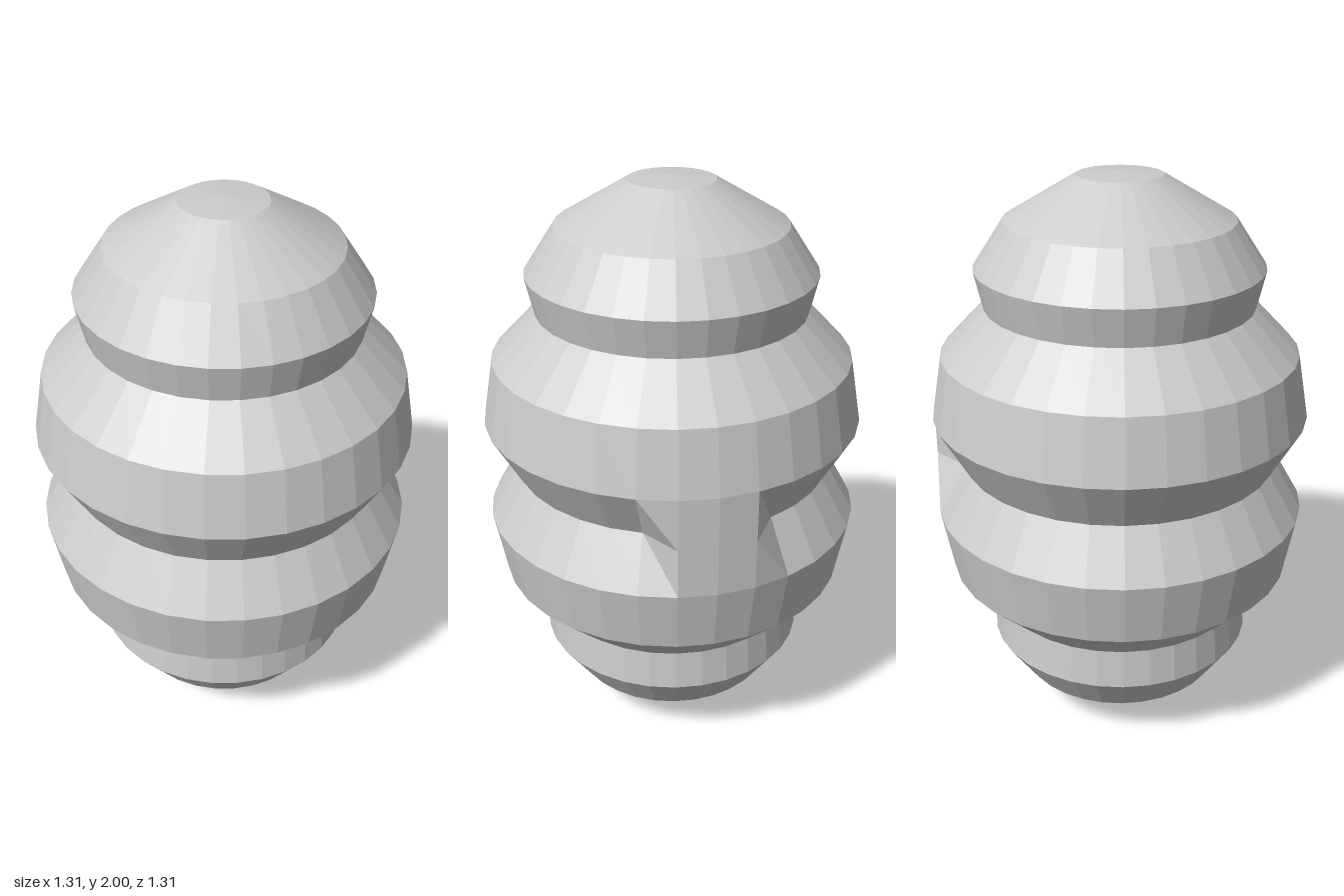
import * as THREE from 'three';

const SIDES = 32;
const RIM = 0.655; // widest radius, either side of the waist

// Outline from bottom to top: [radius, height]
const PROFILE = [
  [0, 0], [0.11, 0.025], [0.375, 0.16], [0.476, 0.31], [0.463, 0.45],
  [0.615, 0.6], [RIM, 0.825], [0.555, 1.0], [RIM, 1.18], [0.615, 1.4],
  [0.461, 1.56], [0.49, 1.69], [0.387, 1.845], [0.145, 1.988], [0, 2],
];
const WAIST = 7; // index of the waist groove in the outline

export function createModel() {
  const group = new THREE.Group();
  group.name = 'ribbedPod';

  const points = PROFILE.map(([r, y]) => new THREE.Vector2(r, y));
  const geometry = new THREE.LatheGeometry(points, SIDES);

  // Fill the waist groove at the back: push three waist corners out to the rim
  const pos = geometry.attributes.position;
  for (const column of [14, 15, 16]) {
    const angle = (column / SIDES) * Math.PI * 2;
    pos.setXYZ(
      column * PROFILE.length + WAIST,
      RIM * Math.sin(angle), PROFILE[WAIST][1], RIM * Math.cos(angle),
    );
  }
  geometry.computeVertexNormals();

  const material = new THREE.MeshStandardMaterial({ color: 0xcccccc, flatShading: true });
  const body = new THREE.Mesh(geometry, material);
  body.name = 'ringedBody';
  group.add(body);
  return group;
}
